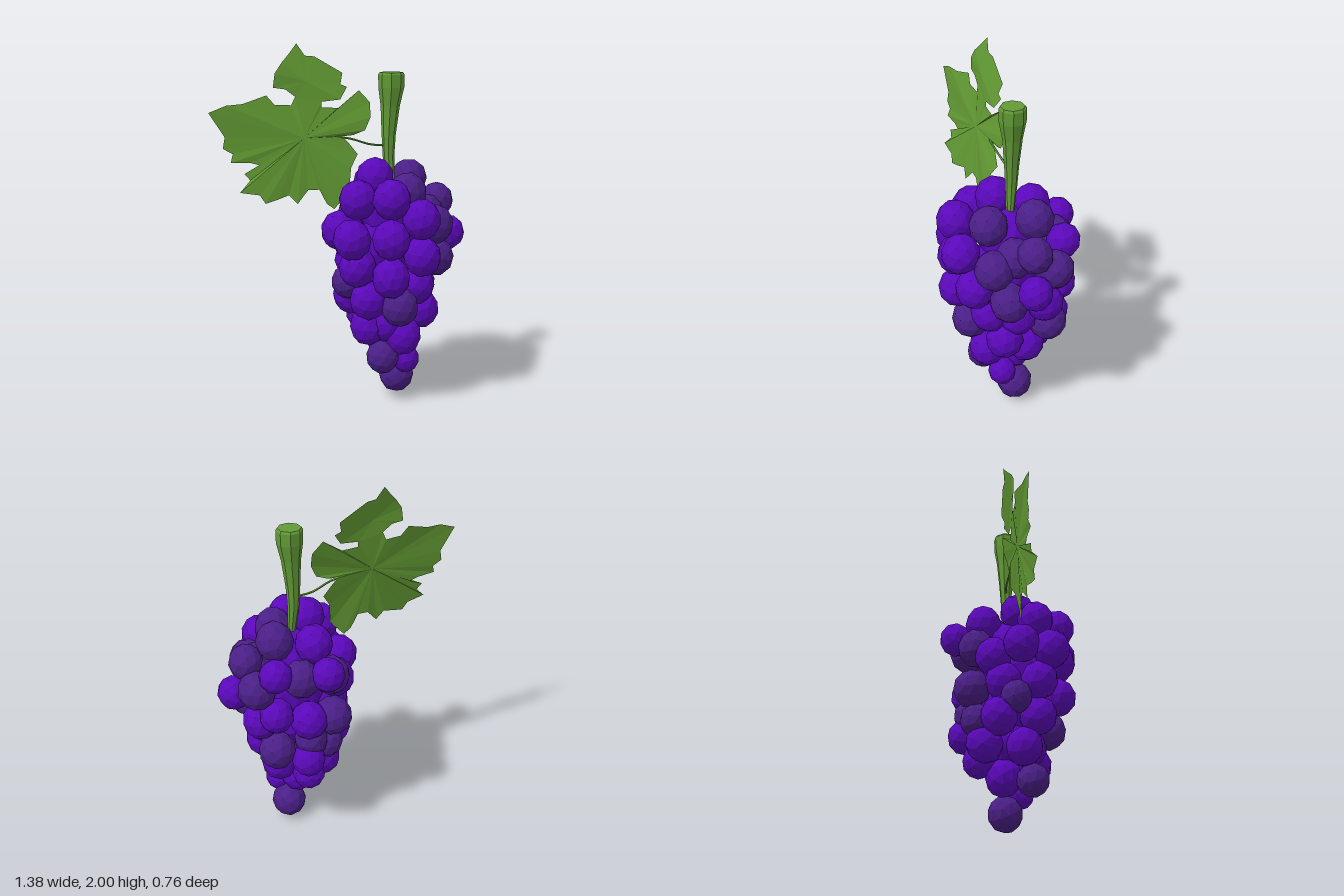
import * as THREE from 'three';

const mat = (name, color) => {
  const m = new THREE.MeshStandardMaterial({ color, flatShading: true });
  m.name = name;
  return m;
};

// small seeded random
let seed = 7;
const rnd = () => (seed = (seed * 16807) % 2147483647) / 2147483647;

// grapes as [x, y, z, radius?]
const BRIGHT = [
  [0.18, 1.275, 0.06], [0.09, 1.17, 0.18], [0.27, 1.19, 0.27], [0.43, 1.08, 0.25],
  [0.6, 0.93, -0.13, 0.088], [0.06, 0.97, 0.275], [0.27, 0.97, 0.27], [-0.01, 0.99, 0.12],
  [0.27, 0.76, 0.27], [0.09, 0.8, 0.2], [0.44, 0.86, 0.18], [0.05, 0.59, -0.02],
  [0.15, 0.61, 0.18], [0.42, 0.66, -0.05], [0.41, 0.68, 0.1], [0.44, 0.52, 0.02],
  [0.15, 0.44, 0.1], [0.34, 0.39, 0.11], [0.36, 0.23, 0.03, 0.075],
];
const BRIGHT_BACK = [
  [0.16, 1.21, -0.14], [0.38, 1.11, -0.29, 0.088], [0.1, 1.1, -0.29, 0.088],
  [0.03, 0.94, -0.05], [0.38, 0.85, -0.27, 0.09], [0.2, 0.78, -0.23],
  [0.21, 0.54, -0.26, 0.09], [0.12, 0.46, -0.12], [0.36, 0.43, -0.1],
  [0.2, 0.39, -0.17, 0.09], [0.25, 0.3, -0.04], [0.46, 0.78, -0.19],
  [0.06, 0.8, 0.0], [0.25, 0.46, 0.1],
];
const DARK = [
  [0.37, 1.24, -0.14], [0.36, 1.2, 0.1], [0.53, 1.12, -0.13, 0.09], [0.51, 1.02, 0.08],
  [0.52, 0.82, 0], [0.03, 0.69, 0.08, 0.085], [0.32, 0.58, 0.2], [0.23, 0.27, 0.13, 0.088],
  [0.31, 0.11, -0.045, 0.095], [0.24, 1.06, -0.25], [0.07, 1.02, -0.16], [0.48, 1.0, -0.24],
  [0.46, 1.06, -0.03], [0.06, 0.77, -0.18], [0.38, 0.59, -0.22], [0.19, 0.65, -0.22, 0.09],
  [0.1, 0.59, -0.16, 0.09],
];
// hidden middle of the bunch
const CORE = [[0.26, 1.08, 0, 0.15], [0.27, 0.9, 0, 0.18], [0.26, 0.7, 0, 0.17], [0.26, 0.5, 0, 0.13]];

// slightly tall, faceted grapes turned at random
function addGrapes(group, list, name, material) {
  for (const [x, y, z, r = 0.1] of list) {
    const g = new THREE.IcosahedronGeometry(1, 1);
    g.rotateX(rnd() * 6);
    g.rotateZ(rnd() * 6);
    const grape = new THREE.Mesh(g, material);
    grape.name = name;
    grape.scale.set(r * 1.05, r * 1.13, r * 1.05);
    grape.rotation.set((rnd() - 0.5) * 0.5, rnd() * 6, (rnd() - 0.5) * 0.5);
    grape.position.set(x, y, z);
    group.add(grape);
  }
}

// tapered stem: eight-sided rings following a slight bend
function stemGeometry() {
  const rings = [ // x, y, z, radius, top to bottom
    [0.267, 1.842, -0.03, 0.064], [0.267, 1.83, -0.03, 0.072], [0.267, 1.76, -0.03, 0.071],
    [0.262, 1.66, -0.03, 0.053], [0.255, 1.5, -0.027, 0.039], [0.255, 1.38, -0.025, 0.032],
    [0.275, 1.15, -0.015, 0.016],
  ];
  const g = new THREE.CylinderGeometry(1, 1, 1, 8, rings.length - 1);
  const p = g.attributes.position;
  for (let i = 0; i < p.count; i++) {
    const [x, y, z, r] = rings[Math.round((0.5 - p.getY(i)) * (rings.length - 1))];
    p.setXYZ(i, x + p.getX(i) * r, y, z + p.getZ(i) * r);
  }
  g.computeVertexNormals();
  return g;
}

// leaf outline, from the stalk round the lower and left lobes to the upper notch
const LOWER = [
  [0, 1.5], [0.03, 1.47], [0.085, 1.4], [0.05, 1.33], [0.04, 1.2], [-0.04, 1.11], [-0.08, 1.14],
  [-0.1, 1.18], [-0.12, 1.22], [-0.18, 1.22], [-0.235, 1.15], [-0.28, 1.2], [-0.34, 1.18],
  [-0.4, 1.165], [-0.43, 1.21], [-0.53, 1.23], [-0.48, 1.29], [-0.51, 1.325], [-0.43, 1.365],
  [-0.48, 1.38], [-0.58, 1.385], [-0.57, 1.43], [-0.62, 1.46], [-0.61, 1.52], [-0.69, 1.65],
  [-0.6, 1.685], [-0.52, 1.69], [-0.4, 1.73], [-0.365, 1.68], [-0.27, 1.675],
];
// top lobe, from its left notch to its right one
const TOP = [
  [-0.25, 1.72], [-0.3, 1.76], [-0.365, 1.77], [-0.355, 1.845], [-0.32, 1.9], [-0.28, 1.95],
  [-0.245, 2.0], [-0.2, 1.935], [-0.15, 1.93], [0, 1.84], [-0.01, 1.78], [0.025, 1.765],
  [-0.01, 1.7], [-0.11, 1.69],
];
// right lobe, back to the stalk
const RIGHT = [
  [-0.11, 1.66], [-0.02, 1.655], [0.09, 1.745], [0.15, 1.68], [0.155, 1.6], [0.125, 1.53], [0.06, 1.505],
];

// lobed blade: two fans of facets, swept forward along -x with a gentle ripple
function leafGeometry() {
  const pos = [];
  const put = ([x, y]) =>
    pos.push(x, y, 0.042 - 0.37 * x + 0.15 * (1.65 - y) + 0.012 * Math.sin(10 * x + 16 * y));
  const fan = (hub, loop) => loop.forEach((cur, i) => {
    put(hub);
    put(loop[(i + 1) % loop.length]);
    put(cur);
  });
  fan([-0.2, 1.5], [...LOWER, TOP[0], TOP[TOP.length - 1], ...RIGHT]);
  fan([-0.19, 1.8], TOP);
  const g = new THREE.BufferGeometry();
  g.setAttribute('position', new THREE.Float32BufferAttribute(pos, 3));
  g.computeVertexNormals();
  return g;
}

export function createModel() {
  const model = new THREE.Group();
  model.name = 'grapeBunch';
  const violet = mat('bright violet', 0x5a08b9);
  const plum = mat('dark plum', 0x4b1f88);
  const leafGreen = mat('leaf green', 0x629a33);
  leafGreen.side = THREE.DoubleSide;
  const stemGreen = mat('stem green', 0x629a36);

  // fruit
  const fruit = new THREE.Group();
  fruit.name = 'fruit';
  addGrapes(fruit, BRIGHT, 'brightGrape', violet);
  addGrapes(fruit, BRIGHT_BACK, 'brightGrape', violet);
  addGrapes(fruit, DARK, 'darkGrape', plum);
  addGrapes(fruit, CORE, 'innerGrape', violet);
  model.add(fruit);

  // stem
  const stem = new THREE.Mesh(stemGeometry(), stemGreen);
  stem.name = 'stem';
  model.add(stem);

  // leaf and its stalk
  const leaf = new THREE.Mesh(leafGeometry(), leafGreen);
  leaf.name = 'leaf';
  const path = new THREE.CatmullRomCurve3([
    new THREE.Vector3(-0.03, 1.5, 0.07), new THREE.Vector3(0.05, 1.485, 0.045),
    new THREE.Vector3(0.15, 1.45, 0), new THREE.Vector3(0.25, 1.44, -0.025),
  ]);
  const stalk = new THREE.Mesh(new THREE.TubeGeometry(path, 8, 0.006, 5), stemGreen);
  stalk.name = 'leafStalk';
  model.add(leaf, stalk);
  return model;
}
